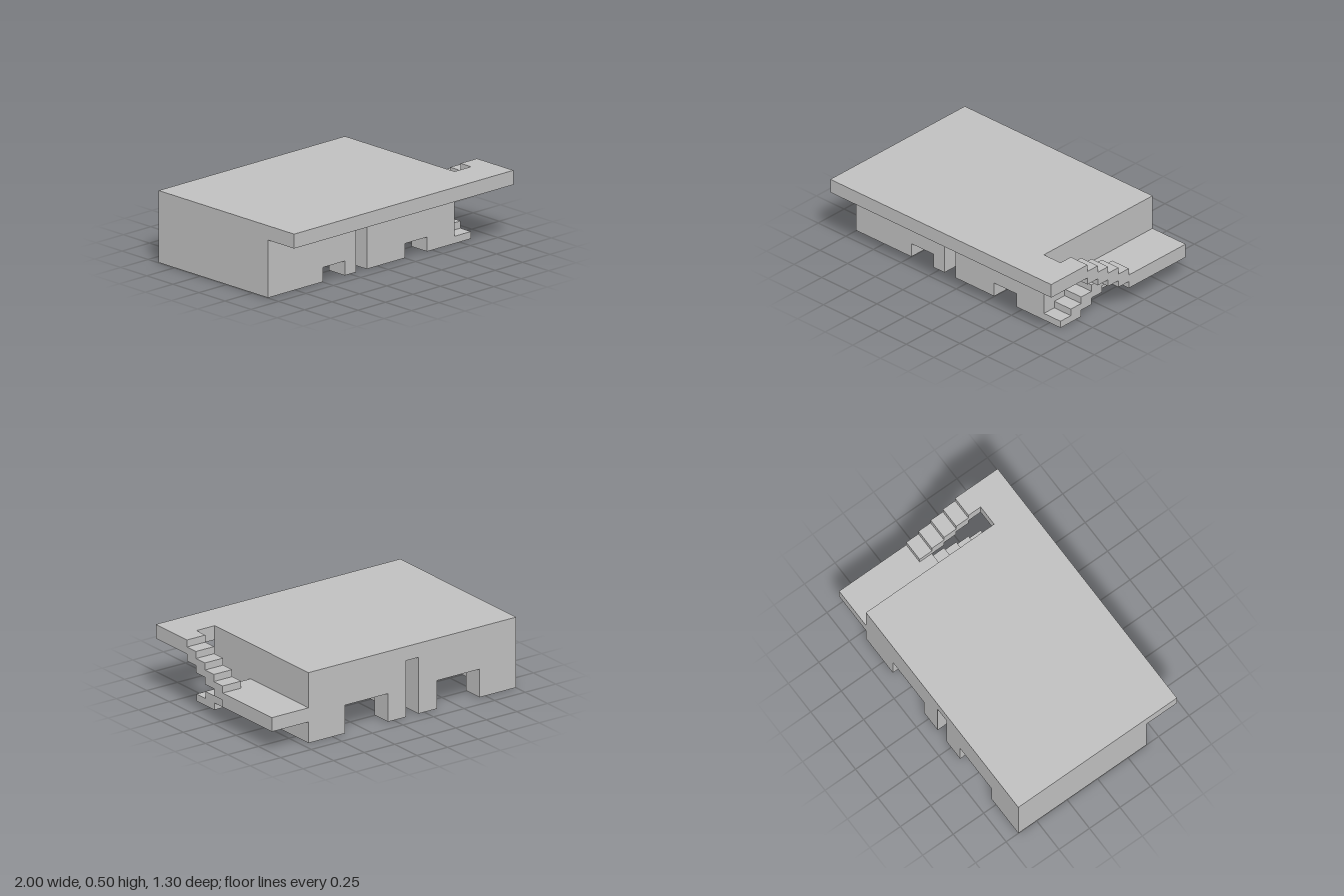
import * as THREE from 'three';

export function createModel() {
  const grey = new THREE.MeshStandardMaterial({ color: 0xc0c0c0 });
  grey.name = 'concrete grey';
  const blue = new THREE.MeshStandardMaterial({ color: 0x50699f });
  blue.name = 'strip blue';

  const model = new THREE.Group();
  model.name = 'terraceBuilding';

  const add = (name, geometry, material = grey) => {
    const mesh = new THREE.Mesh(geometry, material);
    mesh.name = name;
    model.add(mesh);
    return mesh;
  };

  // Box given by its lower and upper corners
  const box = (name, [x0, y0, z0], [x1, y1, z1], material) =>
    add(name, new THREE.BoxGeometry(x1 - x0, y1 - y0, z1 - z0), material)
      .position.set((x0 + x1) / 2, (y0 + y1) / 2, (z0 + z1) / 2);

  const extrude = (points, depth) => new THREE.ExtrudeGeometry(
    new THREE.Shape(points.map(([a, b]) => new THREE.Vector2(a, b))),
    { depth, bevelEnabled: false });

  // Horizontal slab from an outline in x and z
  const slab = (name, outline, y0, y1) => {
    const g = extrude(outline.map(([x, z]) => [x, -z]), y1 - y0);
    g.rotateX(-Math.PI / 2);
    g.translate(0, y0, 0);
    add(name, g);
  };

  // Upright wall with one opening cut into its foot
  const wall = (name, x0, x1, n0, n1, h, z) => {
    const g = extrude([[x0, 0], [n0, 0], [n0, h], [n1, h], [n1, 0], [x1, 0], [x1, 0.4], [x0, 0.4]], 0.15);
    g.translate(0, 0, z);
    add(name, g);
  };

  // Roof deck with a cut-out over the stairwell
  slab('roofDeck', [[-1, -0.65], [0.7, -0.65], [0.7, 0.4], [0.85, 0.4], [0.85, 0.3],
    [1, 0.3], [1, 0.65], [-1, 0.65]], 0.4, 0.5);

  // Front and back walls, each split by a narrow slot
  wall('frontWallRight', -1, -0.2, -0.5, -0.3, 0.1, 0.25);
  wall('frontWallLeft', -0.1, 0.7, 0.25, 0.45, 0.1, 0.25);
  wall('backWallRight', -1, -0.2, -0.7, -0.35, 0.2, -0.65);
  wall('backWallLeft', -0.1, 0.7, 0.05, 0.4, 0.2, -0.65);

  // Side walls and the divider between the two rooms
  box('rightWall', [-1, 0, -0.5], [-0.85, 0.4, 0.25]);
  box('leftWall', [0.55, 0, -0.5], [0.7, 0.4, 0.25]);
  box('dividerWall', [-0.2, 0, -0.5], [-0.1, 0.4, 0.25]);

  // Coloured strips under the side walls
  for (const [name, x] of [['rightBaseStrip', -0.925], ['leftBaseStrip', 0.625]]) {
    box(name, [x - 0.025, -0.002, -0.6], [x + 0.025, 0.002, 0.35], blue);
  }

  // Half-way landing
  slab('landing', [[0.7, -0.65], [1, -0.65], [1, -0.1], [0.85, -0.1], [0.85, 0], [0.7, 0]], 0.15, 0.25);

  // Two flights of four steps, the lower one rising to the back, the upper one to the front
  for (let i = 0; i < 4; i++) {
    const low = 0.05 * (i + 1);
    box('lowerStep', [0.7, Math.max(0, low - 0.1), 0.3 - 0.1 * i], [0.85, low, 0.4 - 0.1 * i]);
    const high = 0.3 + 0.05 * i;
    box('upperStep', [0.85, high - 0.1, -0.1 + 0.1 * i], [1, high, 0.1 * i]);
  }

  return model;
}
